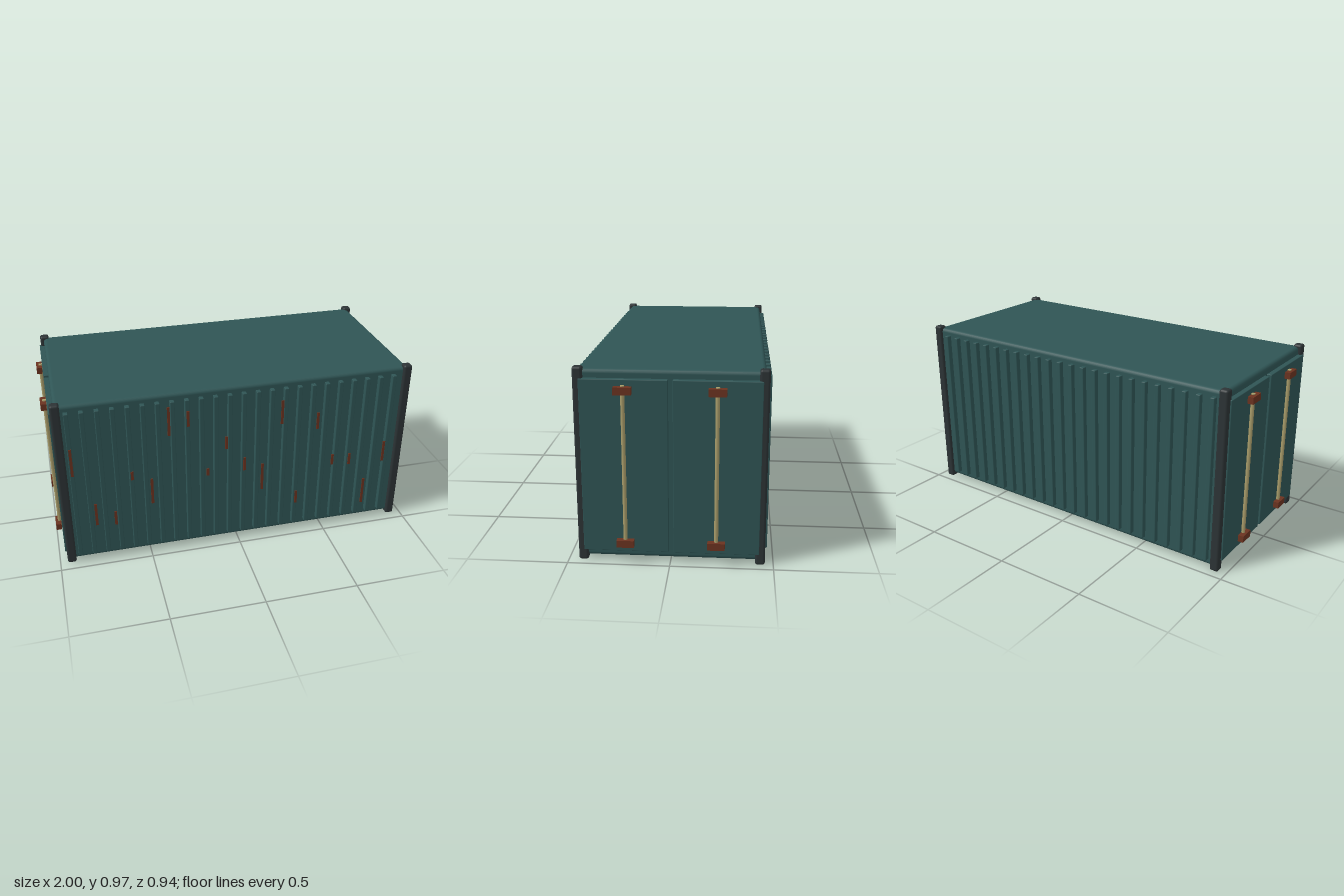
import * as THREE from 'three';
import { RoundedBoxGeometry } from 'three/addons/geometries/RoundedBoxGeometry.js';

const paint = (color) => new THREE.MeshStandardMaterial({ color });

export function createModel() {
  const model = new THREE.Group();
  const teal = paint(0x2f5555), dark = paint(0x2c3335), rust = paint(0x6b3320), brass = paint(0xa89c6a);
  const midZ = -0.004; // hull centre; the rust flakes stand out at the front only

  const add = (name, geometry, material, x, y, z) => {
    const mesh = new THREE.Mesh(geometry, material);
    mesh.name = name;
    mesh.position.set(x, y, z);
    model.add(mesh);
    return mesh;
  };

  // Hull with softened edges
  add('hull', new RoundedBoxGeometry(1.884, 0.944, 0.88, 2, 0.02), teal, 0, 0.49, midZ);

  // Corner posts
  const postGeo = new RoundedBoxGeometry(0.048, 0.972, 0.048, 2, 0.012);
  for (const sx of [-1, 1])
    for (const sz of [-1, 1])
      add('cornerPost', postGeo, dark, sx * 0.936, 0.488, midZ + sz * 0.431);

  // Vertical ribs on both long walls
  const ribGeo = new RoundedBoxGeometry(0.024, 0.876, 0.045, 1, 0.004);
  for (let i = 0; i < 24; i++)
    for (const sz of [-1, 1])
      add('wallRib', ribGeo, teal, -0.886 + i * 0.0758, 0.49, midZ + sz * 0.4435);

  // Double doors with lock rods and brackets at both ends
  const doorGeo = new RoundedBoxGeometry(0.03, 0.86, 0.414, 1, 0.003);
  const rodGeo = new THREE.CylinderGeometry(0.01, 0.01, 0.81, 10);
  const bracketGeo = new THREE.BoxGeometry(0.03, 0.036, 0.084);
  for (const sx of [-1, 1])
    for (const sz of [-1, 1]) {
      const z = midZ + sz * 0.2185;
      add('door', doorGeo, teal, sx * 0.953, 0.49, z);
      add('lockRod', rodGeo, brass, sx * 0.978, 0.49, z);
      for (const y of [0.11, 0.872]) add('rodBracket', bracketGeo, rust, sx * 0.985, y, z);
    }

  // Rust streaks on the front wall: [bottom, top] of each, left to right
  const streaks = [
    [0.57, 0.73], [0.245, 0.38], [0.23, 0.315], [0.5, 0.55], [0.335, 0.49], [0.74, 0.905],
    [0.78, 0.87], [0.463, 0.507], [0.615, 0.69], [0.465, 0.545], [0.325, 0.49], [0.725, 0.865],
    [0.197, 0.277], [0.667, 0.765], [0.423, 0.487], [0.41, 0.478], [0.13, 0.295], [0.4, 0.528],
  ];
  streaks.forEach(([low, high], i) => {
    const geo = new THREE.BoxGeometry(0.014, high - low, 0.005);
    add('rustStreak', geo, rust, -0.885 + i * 0.1012, (low + high) / 2, 0.468);
  });

  return model;
}
